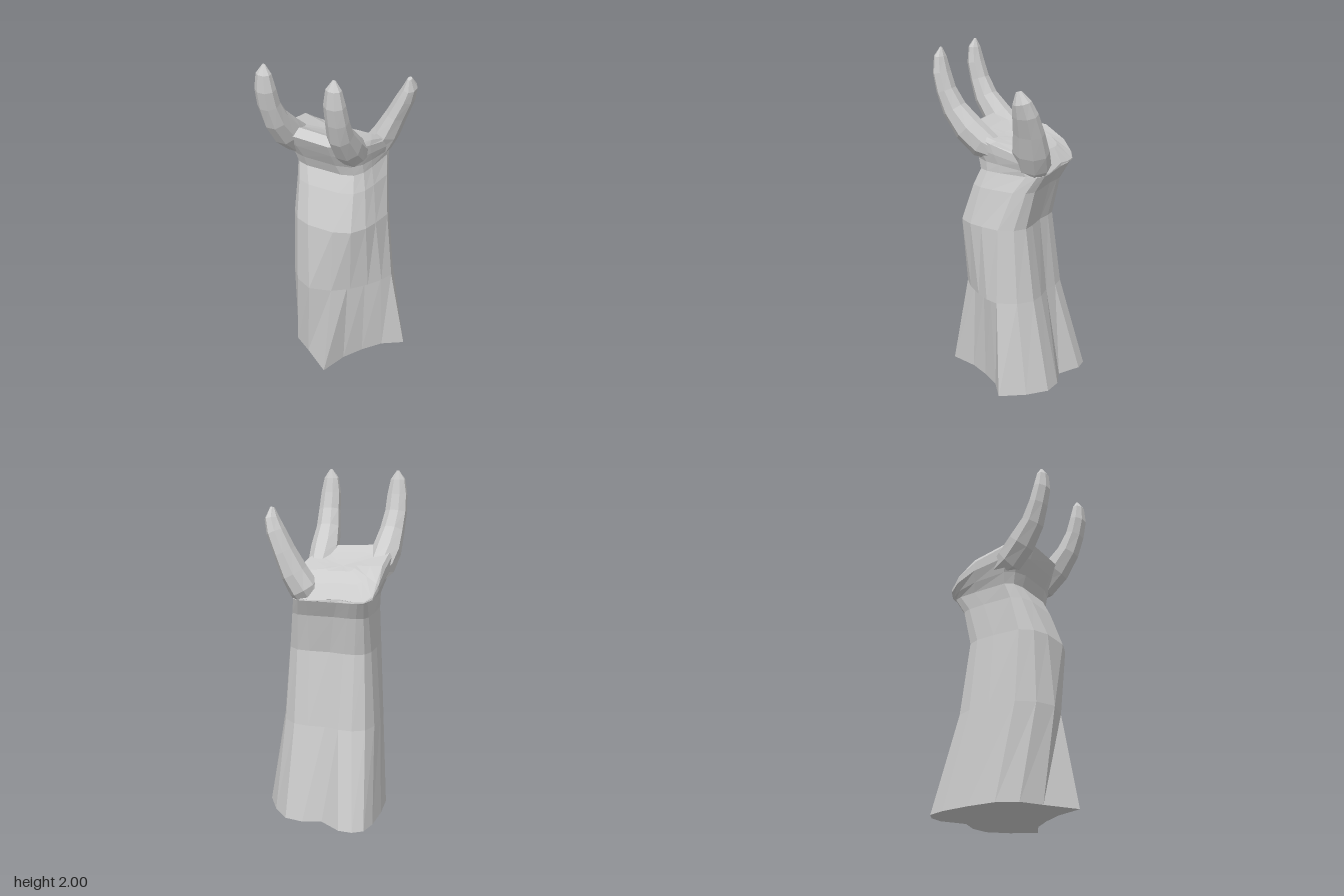
import * as THREE from 'three';

const material = new THREE.MeshStandardMaterial({ color: 0xcccccc, flatShading: true });

// Outline of the sleeve hem as [x, z]: front corner, round the right side and back, to the notch
const HEM = [[0.03, 0.365], [-0.15, 0.25], [-0.27, 0.18], [-0.335, 0.07], [-0.35, -0.1], [-0.345, -0.27],
  [-0.32, -0.37], [-0.26, -0.41], [-0.18, -0.41], [-0.05, -0.33], [0.06, -0.365], [0.17, -0.35],
  [0.27, -0.25], [0.355, -0.11], [0.235, -0.03], [0.15, 0.08], [0.08, 0.2]];
// General outline of the arm, same number of corners
const OUTLINE = [[0.04, 0.3], [-0.1, 0.3], [-0.21, 0.25], [-0.285, 0.16], [-0.31, 0], [-0.31, -0.13],
  [-0.28, -0.22], [-0.21, -0.26], [-0.13, -0.26], [-0.04, -0.24], [0.06, -0.25], [0.15, -0.24],
  [0.23, -0.17], [0.275, -0.06], [0.25, 0.04], [0.22, 0.13], [0.15, 0.24]];
// Arm just above the notch, and the notch panel set back under its small ledge
const FOREARM = [[0.03, 0.26], ...OUTLINE.slice(1, 14), [0.247, 0.02], [0.195, 0.1], [0.12, 0.19]];
const NOTCHED = [...FOREARM.slice(0, 14), [0.235, 0], [0.165, 0.08], [0.095, 0.175]];

// Skin a list of closed rings with quads
function loft(rings) {
  const pos = [];
  for (let r = 0; r < rings.length - 1; r++) {
    const low = rings[r], up = rings[r + 1], n = low.length;
    for (let i = 0; i < n; i++) {
      const j = (i + 1) % n;
      for (const p of [low[i], up[i], low[j], low[j], up[i], up[j]]) pos.push(p.x, p.y, p.z);
    }
  }
  const g = new THREE.BufferGeometry();
  g.setAttribute('position', new THREE.Float32BufferAttribute(pos, 3));
  g.computeVertexNormals();
  return g;
}

// Fit the arm outline into a box; power below 1 makes it squarer
function fitted(x0, x1, z0, z1, power) {
  const bend = (u) => Math.sign(u) * Math.min(1, Math.abs(u)) ** power;
  return OUTLINE.map(([x, z]) => [
    (x0 + x1) / 2 + bend((x + 0.0175) / 0.2925) * (x1 - x0) / 2,
    (z0 + z1) / 2 + bend((z - 0.02) / 0.28) * (z1 - z0) / 2]);
}

// Height of the palm: low at the heel, rising to the finger web
const PALM = [[-0.3, 1.31], [-0.22, 1.41], [-0.11, 1.49], [0, 1.51], [0.1, 1.535], [0.2, 1.575]];
function palmHeight(x, z) {
  let i = 0;
  while (i < PALM.length - 2 && z > PALM[i + 1][0]) i++;
  const [a, b] = [PALM[i], PALM[i + 1]];
  const t = THREE.MathUtils.clamp((z - a[0]) / (b[0] - a[0]), 0, 1);
  return a[1] + (b[1] - a[1]) * t - 0.05 * (x + 0.09);
}

// Sweep an eight-sided section along [x, y, z, depth radius, width radius]
function digit(name, steps, widthAxis) {
  const centres = steps.map((s) => new THREE.Vector3(s[0], s[1], s[2]));
  const rings = steps.map((s, k) => {
    const t = centres[Math.min(k + 1, centres.length - 1)].clone()
      .sub(centres[Math.max(k - 1, 0)]).normalize();
    const b = widthAxis.clone().addScaledVector(t, -t.dot(widthAxis)).normalize();
    const n = t.clone().cross(b);
    return Array.from({ length: 8 }, (_, i) => {
      const a = (i + 0.5) * Math.PI / 4;
      return centres[k].clone()
        .addScaledVector(n, Math.cos(a) * s[3] * 1.06)
        .addScaledVector(b, Math.sin(a) * s[4] * 1.06);
    });
  });
  rings.push(rings[0].map(() => centres[centres.length - 1].clone()));
  const mesh = new THREE.Mesh(loft(rings), material);
  mesh.name = name;
  return mesh;
}

export function createModel() {
  const model = new THREE.Group();
  model.name = 'openHand';
  const add = (name, geometry) => {
    const mesh = new THREE.Mesh(geometry, material);
    mesh.name = name;
    model.add(mesh);
  };
  const level = (outline, y) => outline.map(([x, z]) => new THREE.Vector3(x, y, z));

  // Forearm, flaring down to a notched hem
  const wrist = level(fitted(-0.29, 0.162, -0.29, 0.145, 0.5), 1.315);
  add('forearm', loft([
    level(HEM, 0),
    level(NOTCHED, 0.56),
    level(FOREARM, 0.56),
    level(fitted(-0.28, 0.24, -0.2, 0.27, 0.8), 1.0),
    level(fitted(-0.28, 0.195, -0.24, 0.19, 0.62), 1.22),
    wrist,
  ]));
  const hem = new THREE.ShapeGeometry(new THREE.Shape(HEM.map(([x, z]) => new THREE.Vector2(x, z))));
  add('hemCap', hem.rotateX(Math.PI / 2));

  // Hand: sides widen from the wrist up to the tilted rim
  const handRing = (t, x0, x1, z1) => fitted(x0, x1, -0.292, z1, 0.6).map(([x, z]) =>
    new THREE.Vector3(x, THREE.MathUtils.lerp(1.315, palmHeight(x, z), t), z));
  const rim = handRing(1, -0.335, 0.165, 0.19);
  // Palm: shrinking rings that sink gently towards the middle
  const palmRings = [0.7, 0.35, 0].map((s) => rim.map((p) => {
    const x = -0.085 + (p.x + 0.085) * s, z = -0.04 + (p.z + 0.04) * s;
    return new THREE.Vector3(x, palmHeight(x, z) - 0.02 * (1 - s), z);
  }));
  add('palm', loft([
    wrist,
    handRing(0.27, -0.315, 0.165, 0.17),
    handRing(0.58, -0.345, 0.175, 0.215),
    handRing(0.87, -0.347, 0.175, 0.25),
    rim,
    ...palmRings,
  ]));

  // Two fingers curling up from the front corners
  for (const [name, base, tip] of [['rightFinger', -0.262, -0.298], ['leftFinger', 0.088, 0.12]]) {
    const steps = [
      [0.03, 1.43, 0.06, 0.06], [0.11, 1.465, 0.085, 0.076], [0.2, 1.545, 0.083, 0.082],
      [0.285, 1.652, 0.067, 0.07], [0.332, 1.76, 0.053, 0.063], [0.358, 1.86, 0.047, 0.058],
      [0.366, 1.95, 0.032, 0.042], [0.36, 2.0, 0.006, 0.008],
    ].map(([z, y, d, w], i) => [THREE.MathUtils.lerp(base, tip, Math.min(1, i / 4)), y, z, d, w]);
    model.add(digit(name, steps, new THREE.Vector3(1, 0, 0)));
  }

  // Thumb leaning outwards from the heel
  model.add(digit('thumb', [
    [0.06, 1.29, -0.19, 0.06, 0.06], [0.095, 1.37, -0.205, 0.078, 0.1],
    [0.148, 1.46, -0.214, 0.07, 0.104], [0.202, 1.58, -0.225, 0.056, 0.088],
    [0.252, 1.69, -0.226, 0.049, 0.072], [0.278, 1.76, -0.217, 0.038, 0.053],
    [0.282, 1.82, -0.2, 0.012, 0.017],
  ], new THREE.Vector3(0, 0, 1)));

  return model;
}
